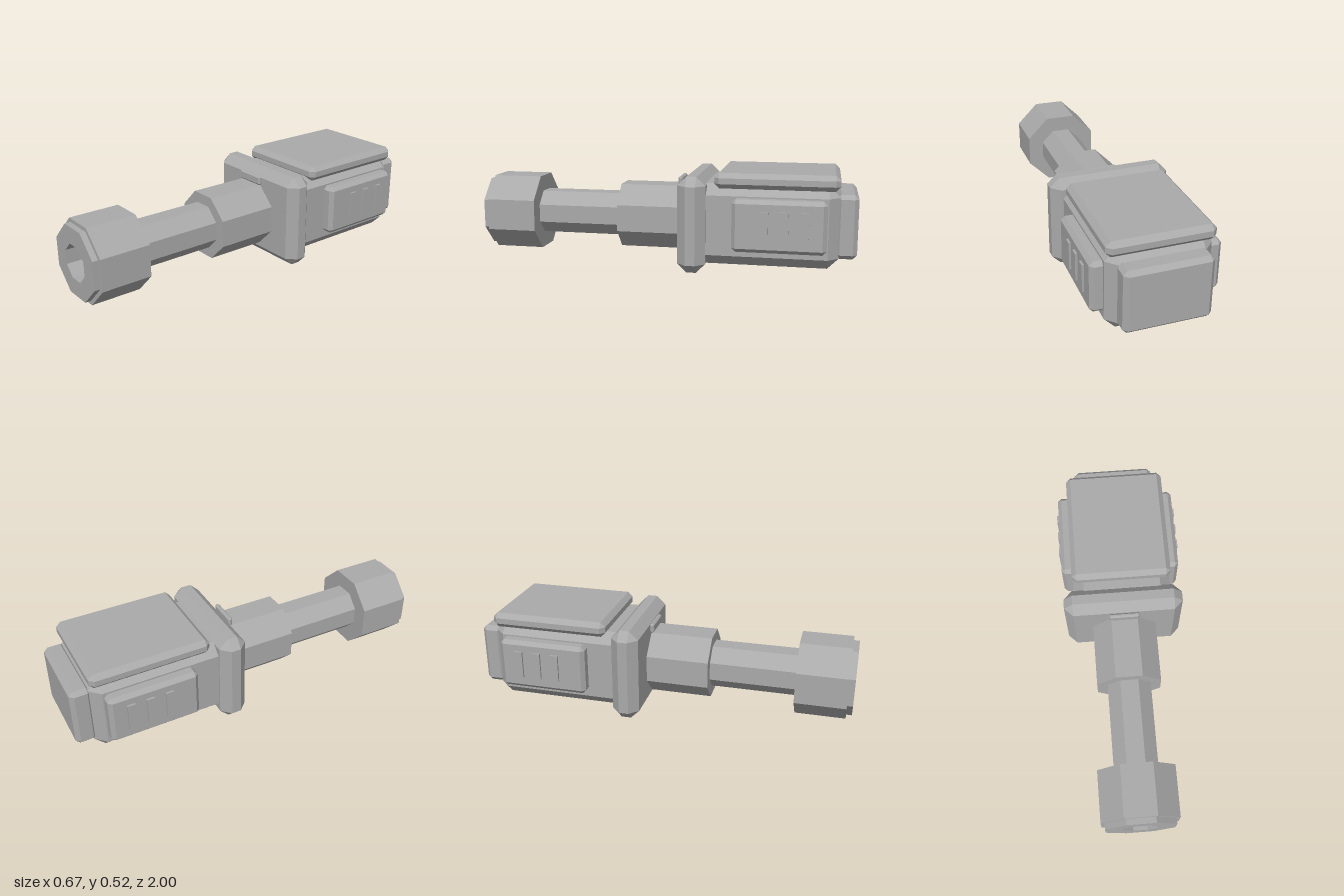
import * as THREE from 'three';
import { ConvexGeometry } from 'three/addons/geometries/ConvexGeometry.js';

const CY = 0.25; // height of the barrel axis

// Box from min to max corner with every edge cut at 45 degrees by b
function bevelBox(min, max, b) {
  const half = max.map((v, i) => (v - min[i]) / 2);
  const mid = max.map((v, i) => (v + min[i]) / 2);
  const points = [];
  for (const sx of [-1, 1]) for (const sy of [-1, 1]) for (const sz of [-1, 1]) {
    const s = [sx, sy, sz];
    for (let axis = 0; axis < 3; axis++) {
      points.push(new THREE.Vector3(...s.map((k, i) => mid[i] + k * (half[i] - (i === axis ? 0 : b)))));
    }
  }
  return new ConvexGeometry(points);
}

// Eight-sided turned part along z, profile given as [apothem, z]
function octagonLathe(profile) {
  const k = 1 / Math.cos(Math.PI / 8);
  const points = profile.map(([r, z]) => new THREE.Vector2(r * k, z));
  const indexed = new THREE.LatheGeometry(points, 8, Math.PI / 8);
  indexed.rotateX(Math.PI / 2);
  const geometry = indexed.toNonIndexed();
  geometry.computeVertexNormals();
  return geometry;
}

export function createModel() {
  const model = new THREE.Group();
  model.name = 'barrelAssembly';
  const grey = new THREE.MeshStandardMaterial({ color: 0xaaaaaa });
  grey.name = 'grey metal';

  const add = (name, geometry, parent = model) => {
    const mesh = new THREE.Mesh(geometry, grey);
    mesh.name = name;
    parent.add(mesh);
    return mesh;
  };

  // Barrel with collar, muzzle, lip and stepped bore
  add('barrel', octagonLathe([
    [0.115, -0.15], [0.115, -0.08], [0.17, -0.08], [0.17, 0.25],
    [0.115, 0.25], [0.115, 0.705], [0.2, 0.705], [0.2, 0.97],
    [0.18, 0.97], [0.18, 1], [0.09, 1], [0.09, 0.85],
    [0.07, 0.85], [0.07, 0.4], [0, 0.4],
  ])).position.y = CY;

  // Housing
  add('frontFlange', bevelBox([-0.317, 0, -0.24], [0.317, 0.5, -0.095], 0.047));
  add('body', bevelBox([-0.26, 0.04, -0.91], [0.26, 0.46, -0.14], 0.055));
  add('topPlate', bevelBox([-0.265, 0.44, -0.908], [0.265, 0.52, -0.28], 0.025));
  add('backPlate', bevelBox([-0.217, 0.092, -1], [0.217, 0.42, -0.89], 0.022));
  add('sightTab', bevelBox([-0.081, 0.42, -0.088], [0.081, 0.47, -0.064], 0.008));

  // Side panels with three raised slats each
  for (const side of [1, -1]) {
    const group = new THREE.Group();
    group.name = side > 0 ? 'leftPanel' : 'rightPanel';
    model.add(group);
    const panel = add('panel', bevelBox([-0.04, -0.134, -0.236], [0.04, 0.134, 0.236], 0.02), group);
    panel.position.set(side * 0.282, 0.264, -0.613);
    for (let i = 0; i < 3; i++) {
      const slat = add('slat', new THREE.BoxGeometry(0.03, 0.146, 0.042), group);
      slat.position.set(side * 0.318, 0.27, -0.54 - i * 0.1);
    }
  }
  return model;
}
